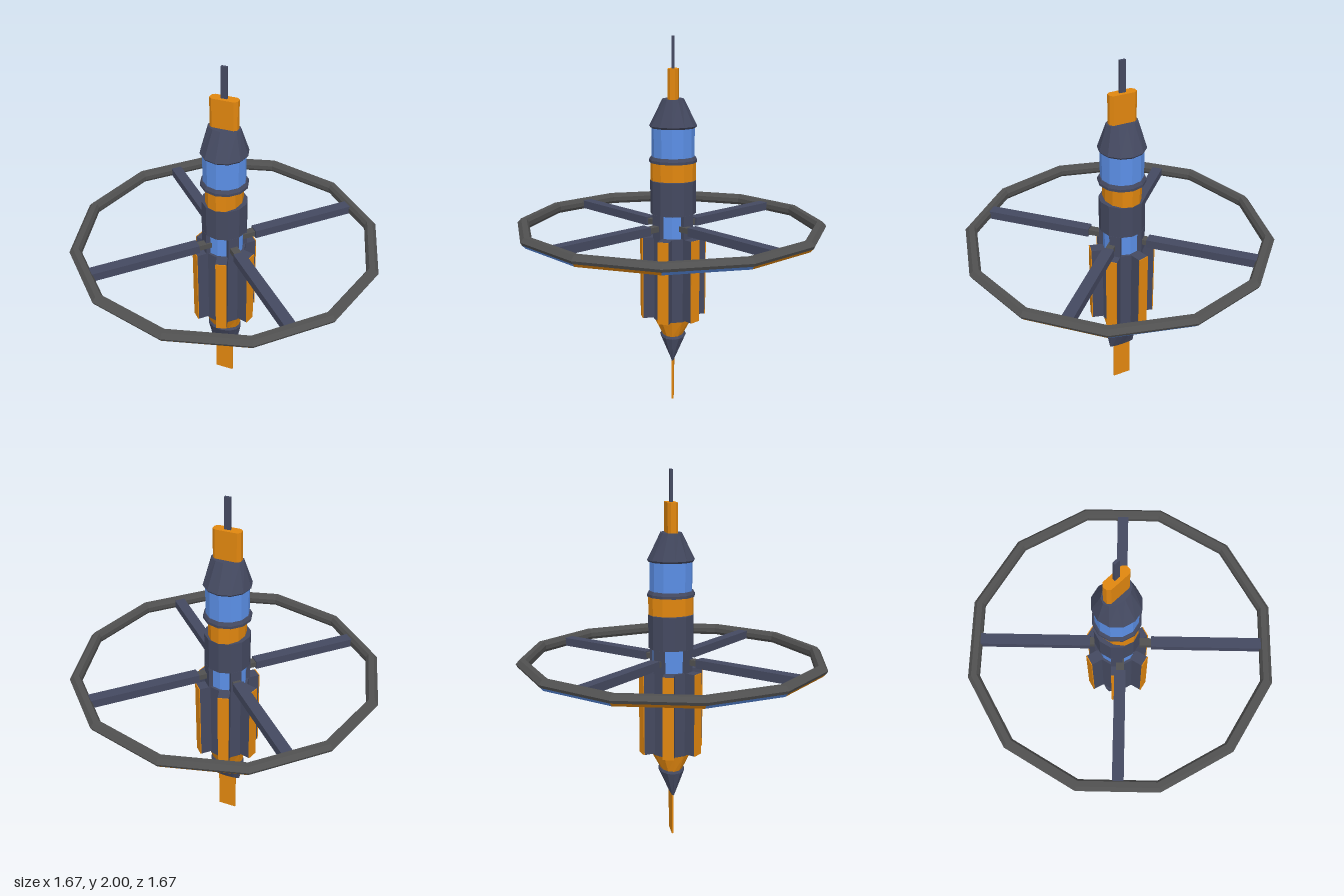
import * as THREE from 'three';

const material = (name, color) => {
  const m = new THREE.MeshStandardMaterial({ color });
  m.name = name;
  return m;
};

export function createModel() {
  const dark = material('slate hull', 0x444960);
  const orange = material('orange panel', 0xe0860f);
  const blue = material('blue panel', 0x5b8fe6);
  const grey = material('grey ring', 0x505050);

  const model = new THREE.Group();
  model.name = 'spaceStation';

  // Faceted mesh: every face gets its own normal
  const add = (parent, name, geometry, mat) => {
    const g = geometry.index ? geometry.toNonIndexed() : geometry;
    g.computeVertexNormals();
    const mesh = new THREE.Mesh(g, mat);
    mesh.name = name;
    parent.add(mesh);
    return mesh;
  };

  // The core sits slightly off the ring's centre
  const core = new THREE.Group();
  core.name = 'core';
  core.position.set(-0.013, 0, -0.013);
  model.add(core);

  // Twelve-sided hull section, elliptical at each end: [y, rx, rz]
  const section = (name, mat, [y0, x0, z0], [y1, x1, z1], sides = 12) => {
    const g = new THREE.CylinderGeometry(1, 1, 1, sides);
    const p = g.attributes.position;
    for (let i = 0; i < p.count; i++) {
      const top = p.getY(i) > 0;
      p.setXYZ(i, p.getX(i) * (top ? x1 : x0), top ? y1 : y0, p.getZ(i) * (top ? z1 : z0));
    }
    return add(core, name, g, mat);
  };
  const box = (parent, name, mat, w, h, d, x, y, z) =>
    add(parent, name, new THREE.BoxGeometry(w, h, d).translate(x, y, z), mat);

  // Lower spike and tail
  box(core, 'tailBlade', orange, 0.103, 0.25, 0.01, 0, 0.125, 0);
  section('tailWedge', dark, [0.24, 0.075, 0.011], [0.375, 0.1, 0.072]);
  section('tailWedgeRim', dark, [0.375, 0.1, 0.072], [0.387, 0.094, 0.066]);
  section('tailCone', orange, [0.385, 0.09, 0.06], [0.48, 0.112, 0.112]);
  section('tailRim', dark, [0.478, 0.114, 0.114], [0.49, 0.114, 0.114]);

  // Lower module with six fins faced in orange
  section('lowerModule', dark, [0.49, 0.115, 0.115], [0.945, 0.115, 0.115]);
  for (let i = 0; i < 6; i++) {
    const fin = new THREE.Group();
    fin.name = 'fin';
    fin.rotation.y = THREE.MathUtils.degToRad(15 + i * 60);
    core.add(fin);
    box(fin, 'finBody', dark, 0.06, 0.456, 0.09, 0, 0.717, 0.127);
    box(fin, 'finPanel', orange, 0.06, 0.456, 0.005, 0, 0.717, 0.1745);
  }

  // Blue hub with four diagonal posts
  section('hub', blue, [0.94, 0.102, 0.102], [1.07, 0.102, 0.102]);
  for (let i = 0; i < 4; i++) {
    const post = box(core, 'hubPost', dark, 0.06, 0.13, 0.06, 0, 1.006, 0.09);
    post.rotation.y = Math.PI / 4 + i * Math.PI / 2;
  }

  // Upper modules
  section('middleModule', dark, [1.07, 0.123, 0.123], [1.25, 0.123, 0.123]);
  section('orangeBand', orange, [1.25, 0.098, 0.122], [1.35, 0.098, 0.122]);
  section('collarLower', dark, [1.348, 0.128, 0.128], [1.362, 0.128, 0.128]);
  section('collarUpper', dark, [1.362, 0.128, 0.128], [1.378, 0.119, 0.119]);
  section('blueModule', blue, [1.375, 0.114, 0.114], [1.532, 0.114, 0.114]);
  section('noseRim', dark, [1.53, 0.119, 0.119], [1.54, 0.127, 0.127]);
  section('noseCone', dark, [1.54, 0.127, 0.127], [1.68, 0.087, 0.057]);

  // Flat docking block with chamfered ends
  const outline = [[-0.074, -0.013], [-0.058, -0.027], [0.058, -0.027], [0.074, -0.013],
    [0.074, 0.013], [0.058, 0.027], [-0.058, 0.027], [-0.074, 0.013]];
  const blockShape = new THREE.Shape(outline.map(([x, y]) => new THREE.Vector2(x, y)));
  const block = new THREE.ExtrudeGeometry(blockShape, { depth: 0.155, bevelEnabled: false });
  add(core, 'dockingBlock', block.rotateX(-Math.PI / 2).translate(0, 1.68, 0), orange);
  box(core, 'antenna', dark, 0.033, 0.166, 0.014, 0, 1.917, 0);

  // Twelve-sided ring, open where the coloured strip fits
  const stripLow = [0.81, 0.974], stripHigh = [0.828, 0.992];
  const lathe = (pts, steps, start, length) =>
    new THREE.LatheGeometry(pts.map(([r, y]) => new THREE.Vector2(r, y)), steps, start, length);
  add(model, 'ring', lathe([stripHigh, [0.836, 1.008], [0.816, 1.031], [0.786, 1.031],
    [0.774, 1.012], [0.774, 0.988], [0.785, 0.972], stripLow], 12, 0, Math.PI * 2), grey);
  for (let i = 0; i < 12; i++) {
    add(model, 'ringStrip', lathe([stripLow, stripHigh], 1, i * Math.PI / 6, Math.PI / 6),
      i % 2 ? blue : orange);
  }

  // Four spokes with thin grey joints to the hub
  for (let i = 0; i < 4; i++) {
    const spoke = new THREE.Group();
    spoke.name = 'spoke';
    spoke.rotation.y = Math.PI / 4 + i * Math.PI / 2;
    model.add(spoke);
    box(spoke, 'spokeBeam', dark, 0.06, 0.046, 0.595, 0, 1, 0.4625);
    box(spoke, 'spokeJoint', grey, 0.042, 0.03, 0.1, 0, 1, 0.13);
  }
  return model;
}
